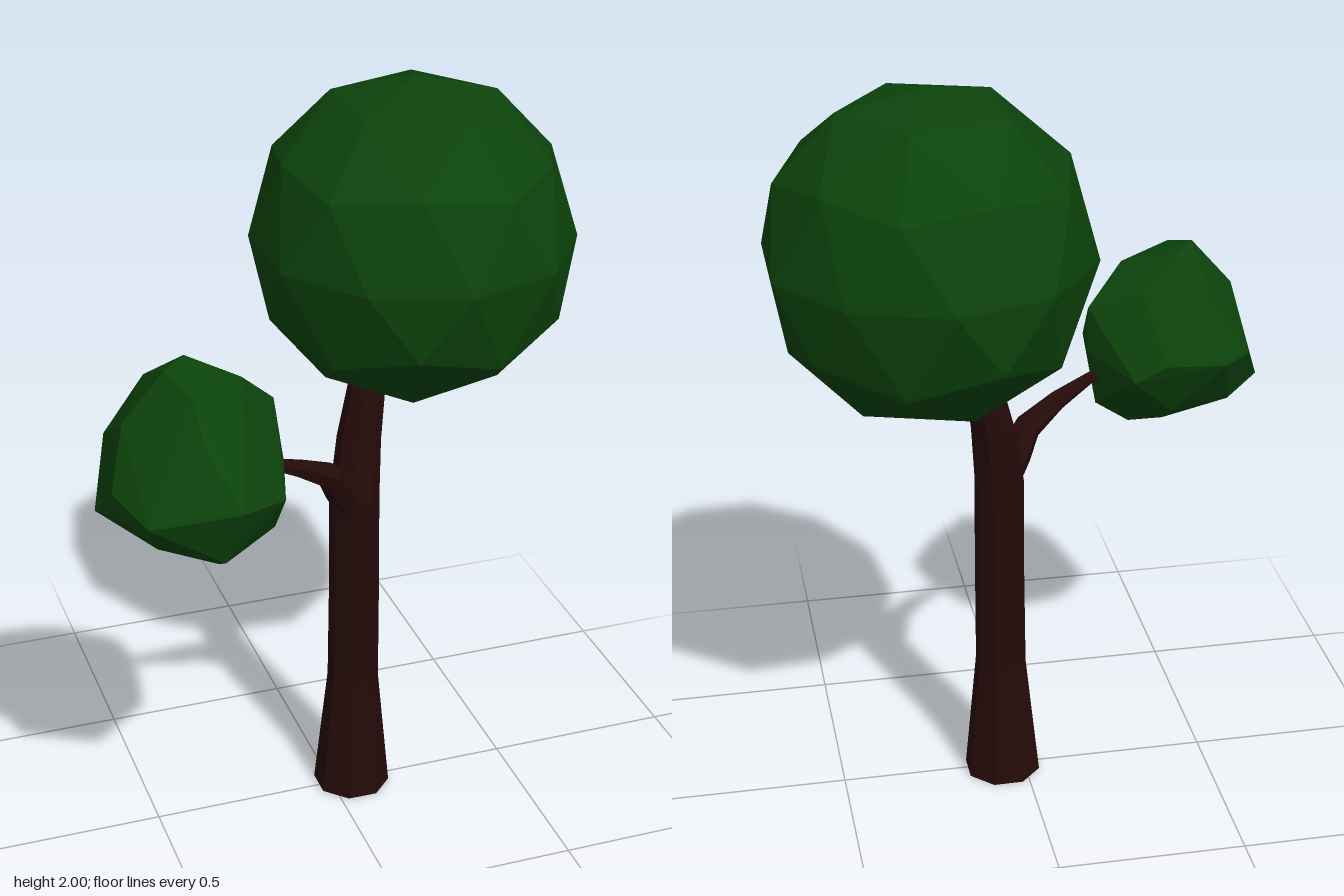
import * as THREE from 'three';
import { ConvexGeometry } from 'three/addons/geometries/ConvexGeometry.js';

const bark = new THREE.MeshStandardMaterial({ color: 0x240b09, flatShading: true });
const leaf = new THREE.MeshStandardMaterial({ color: 0x0c430b, flatShading: true });

// Faceted leaf ball: the convex skin of a set of corners
function foliage(name, corners) {
  const mesh = new THREE.Mesh(new ConvexGeometry(corners.map((c) => new THREE.Vector3(...c))), leaf);
  mesh.name = name;
  return mesh;
}

// Corners on a level ring around the crown's axis; angles run from +x towards +z
function crownRing(count, startDeg, y, rx, rz) {
  return Array.from({ length: count }, (_, i) => {
    const a = THREE.MathUtils.degToRad(startDeg + (360 / count) * i);
    return [0.25 + rx * Math.cos(a), y, -0.095 + rz * Math.sin(a)];
  });
}

// Tapering limb: rings of `sides` corners around stations [x, y, z, radius]
function limb(name, stations, sides) {
  const points = stations.map(([x, y, z]) => new THREE.Vector3(x, y, z));
  const verts = [];
  const index = [];
  const last = points.length - 1;
  points.forEach((p, i) => {
    const dir = points[Math.min(i + 1, last)].clone().sub(points[Math.max(i - 1, 0)]).normalize();
    const q = new THREE.Quaternion().setFromUnitVectors(new THREE.Vector3(0, 1, 0), dir);
    for (let j = 0; j < sides; j++) {
      const a = ((j + 0.5) / sides) * Math.PI * 2;
      const c = new THREE.Vector3(Math.sin(a), 0, Math.cos(a));
      verts.push(...c.multiplyScalar(stations[i][3]).applyQuaternion(q).add(p).toArray());
      if (i === last) continue;
      const k = (j + 1) % sides;
      const [b, t] = [i * sides, (i + 1) * sides];
      index.push(b + j, b + k, t + k, b + j, t + k, t + j);
    }
  });
  // End caps
  const top = last * sides;
  for (let j = 1; j < sides - 1; j++) {
    index.push(0, j + 1, j, top, top + j, top + j + 1);
  }
  const geo = new THREE.BufferGeometry();
  geo.setAttribute('position', new THREE.Float32BufferAttribute(verts, 3));
  geo.setIndex(index);
  geo.computeVertexNormals();
  const mesh = new THREE.Mesh(geo, bark);
  mesh.name = name;
  return mesh;
}

export function createModel() {
  const tree = new THREE.Group();
  tree.name = 'tree';

  // Trunk: flared foot, straight stem, top leaning towards the crown
  tree.add(limb('trunk', [
    [0.06, 0.004, -0.005, 0.104],
    [0.063, 0.35, -0.005, 0.069],
    [0.065, 0.65, -0.005, 0.067],
    [0.065, 0.9, -0.007, 0.066],
    [0.085, 1.06, -0.03, 0.058],
    [0.122, 1.24, -0.058, 0.046],
    [0.15, 1.34, -0.07, 0.035],
  ], 8));

  // Side branch carrying the small leaf ball
  tree.add(limb('branch', [
    [0.06, 0.87, 0, 0.045],
    [0.015, 0.95, 0.03, 0.045],
    [-0.025, 1.01, 0.06, 0.037],
    [-0.11, 1.062, 0.095, 0.026],
    [-0.2, 1.105, 0.122, 0.016],
    [-0.32, 1.14, 0.16, 0.012],
  ], 6));

  // Crown: subdivided icosahedron standing on a flattened pole
  tree.add(foliage('crown', [
    [0.25, 2.0, -0.11],
    ...crownRing(5, 0, 1.945, 0.22, 0.22),
    ...crownRing(5, 36, 1.81, 0.35, 0.365),
    ...crownRing(5, 0, 1.78, 0.375, 0.38),
    ...crownRing(10, 18, 1.58, 0.418, 0.432),
    ...crownRing(5, 36, 1.4, 0.385, 0.395),
    ...crownRing(5, 0, 1.34, 0.355, 0.365),
    ...crownRing(5, 36, 1.215, 0.235, 0.225),
    [0.25, 1.2, -0.1],
  ]));

  // Small leaf ball: irregular, drawn out to a point at the front
  tree.add(foliage('smallLeafBall', [
    // middle, going round from the front point
    [-0.39, 1.2, 0.515], [-0.6, 1.15, 0.43], [-0.65, 1.18, 0.28], [-0.665, 1.07, 0.15],
    [-0.6, 1.2, 0], [-0.525, 1.2, -0.07], [-0.37, 1.2, -0.055], [-0.29, 1.15, -0.03],
    [-0.195, 1.18, 0.13], [-0.21, 1.18, 0.25], [-0.25, 1.15, 0.39],
    // upper
    [-0.49, 1.445, 0.2], [-0.42, 1.44, 0.12], [-0.45, 1.41, 0.3], [-0.3, 1.4, 0.2],
    [-0.2, 1.3, 0.14], [-0.6, 1.32, 0.2], [-0.45, 1.33, 0.39], [-0.33, 1.36, 0.08],
    [-0.5, 1.36, 0.03],
    // lower
    [-0.42, 0.94, 0.19], [-0.32, 0.95, 0.17], [-0.53, 0.985, 0.2], [-0.4, 0.96, 0.315],
    [-0.42, 1.04, 0.45], [-0.225, 1.02, 0.15], [-0.4, 1.04, 0.02], [-0.56, 1.05, 0.05],
    [-0.25, 1.03, 0.3], [-0.56, 1.05, 0.35],
  ]));
  return tree;
}
